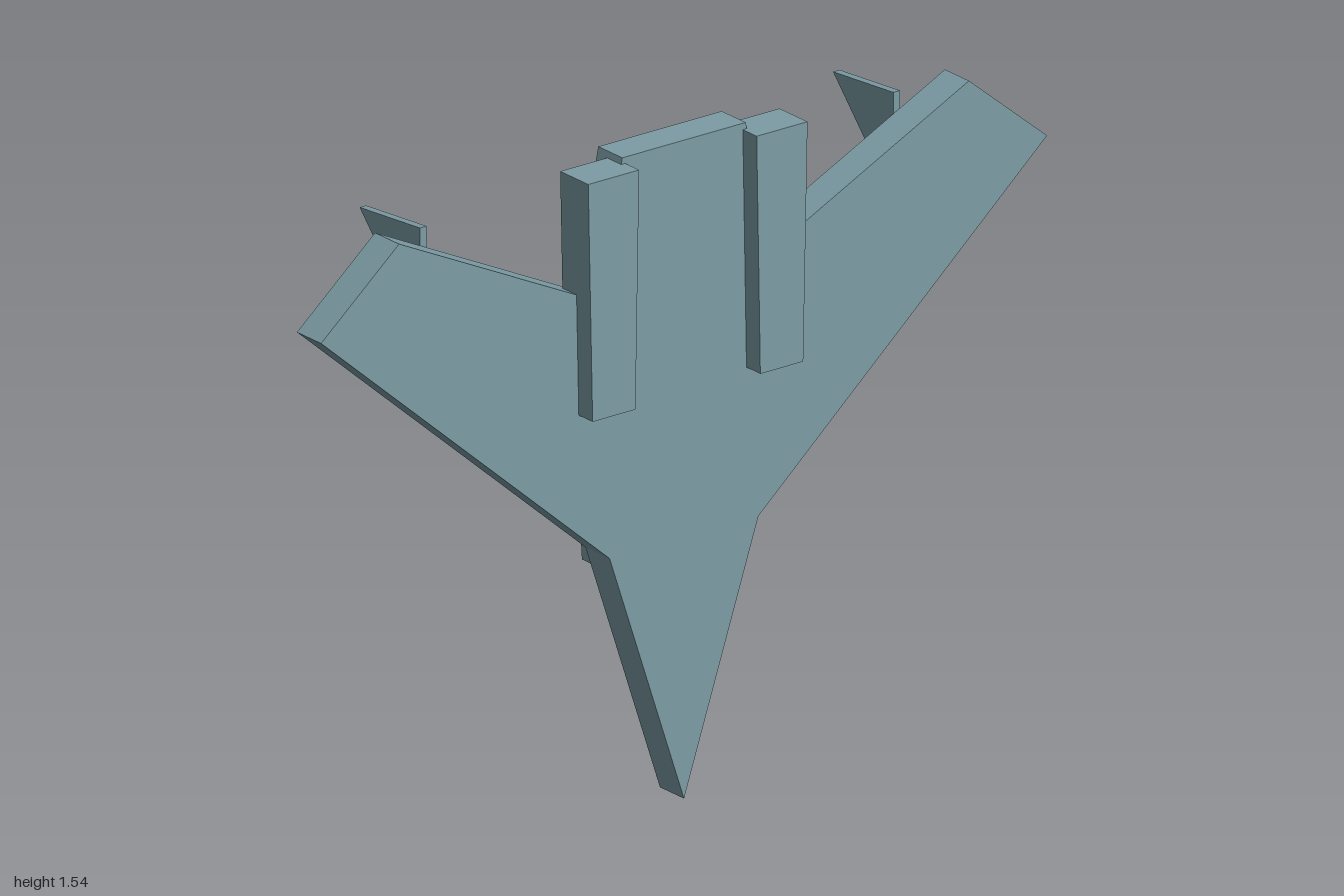
import * as THREE from 'three';

export function createModel() {
  const model = new THREE.Group();
  const paint = new THREE.MeshStandardMaterial({ color: 0x7c9ca5 });
  paint.name = 'greyBluePaint';

  // Flat plate: outline in x/y, thickness from z0 to z1
  function plate(name, points, z0, z1) {
    const shape = new THREE.Shape(points.map(([x, y]) => new THREE.Vector2(x, y)));
    const geometry = new THREE.ExtrudeGeometry(shape, { depth: z1 - z0, bevelEnabled: false });
    geometry.translate(0, 0, z0);
    const mesh = new THREE.Mesh(geometry, paint);
    mesh.name = name;
    model.add(mesh);
    return mesh;
  }

  // Nose, swept wings and tail in one slab, outlined on +x and mirrored
  const half = [[0.205, 0.61], [1, 1.305], [0.785, 1.485], [0.235, 1.218], [0.17, 1.537]];
  const mirrored = half.map(([x, y]) => [-x, y]).reverse();
  plate('airframe', [[0, 0], ...half, ...mirrored], 0.04, 0.125);

  // Raised block on the back, narrowing towards the nose
  plate('cockpit', [[-0.115, 0.52], [0.115, 0.52], [0.148, 1.055], [-0.148, 1.055]], -0.088, 0.04);

  for (const [side, s] of [['left', 1], ['right', -1]]) {
    // Tapered engine pods on the front
    plate(side + 'Engine',
      [[0.172, 0.965], [0.29, 0.965], [0.302, 1.522], [0.162, 1.522]].map(([x, y]) => [s * x, y]),
      0.075, 0.174);

    // Triangular fins standing out behind the wings
    const fin = plate(side + 'Fin', [[-0.04, 1.215], [0.173, 1.448], [-0.04, 1.466]], -0.009, 0.009);
    fin.rotation.y = Math.PI / 2;
    fin.position.x = s * 0.652;
  }
  return model;
}
